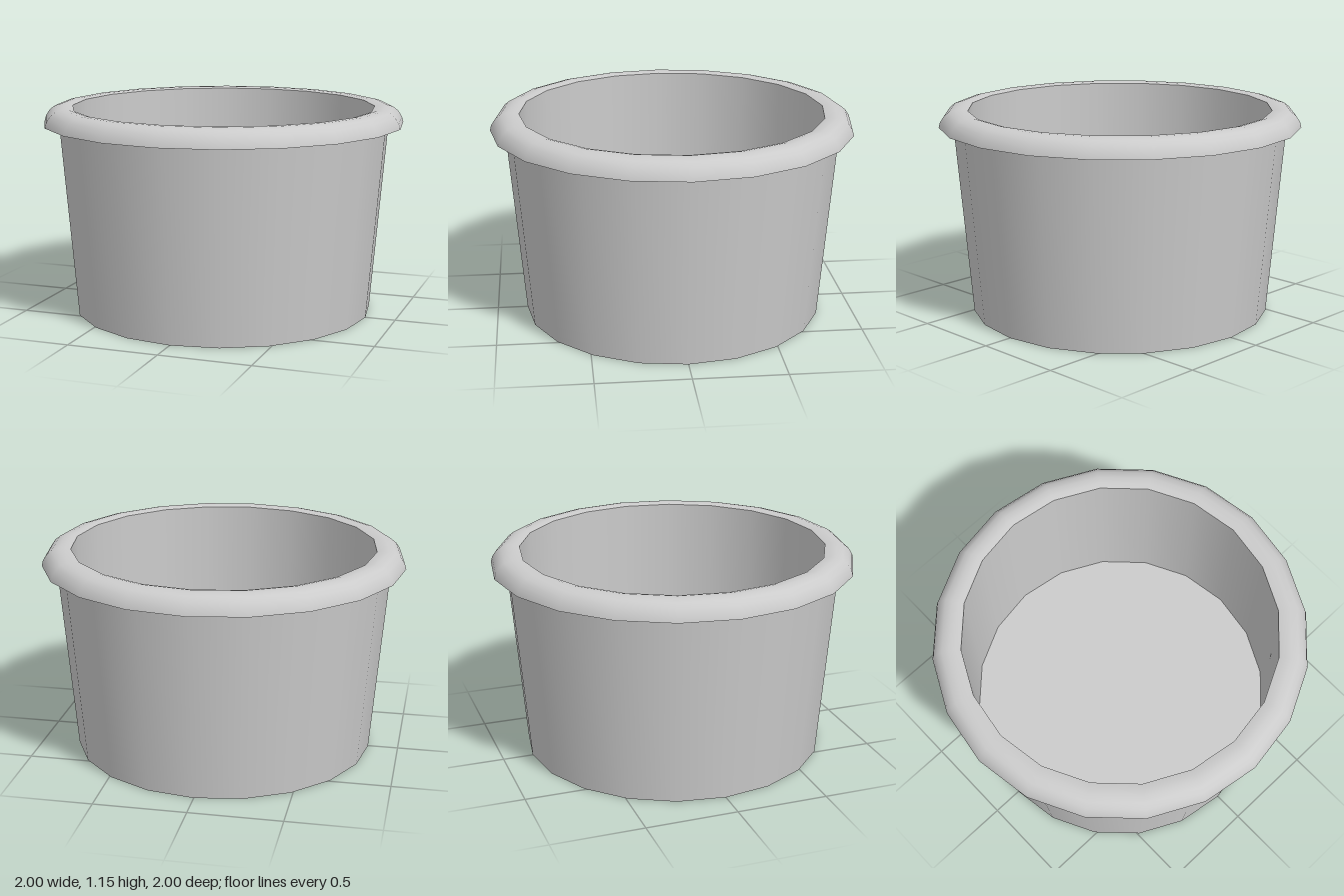
import * as THREE from 'three';

const SIDES = 20;

export function createModel() {
  const group = new THREE.Group();
  group.name = 'tub';
  const material = new THREE.MeshStandardMaterial({ color: 0xcccccc });

  // Each [radius, height] profile is smooth; edges between parts stay sharp.
  const addLathe = (name, profile) => {
    const points = profile.map(([r, y]) => new THREE.Vector2(r, y));
    const mesh = new THREE.Mesh(new THREE.LatheGeometry(points, SIDES), material);
    mesh.name = name;
    group.add(mesh);
  };

  // Tapered body
  addLathe('base', [[0, 0], [0.833, 0]]);
  addLathe('outerWall', [[0.833, 0], [0.92, 1.055]]);

  // Overhanging rounded rim, dipping slightly towards the opening
  addLathe('rimUnderside', [[0.92, 1.055], [1, 1.055]]);
  addLathe('rim', [[1, 1.055], [0.992, 1.085], [0.97, 1.118], [0.942, 1.14], [0.905, 1.15], [0.87, 1.15], [0.84, 1.143]]);

  // Hollow inside with straight walls and a thick floor
  addLathe('innerWall', [[0.84, 1.143], [0.84, 0.18]]);
  addLathe('floor', [[0.84, 0.18], [0, 0.18]]);

  return group;
}
